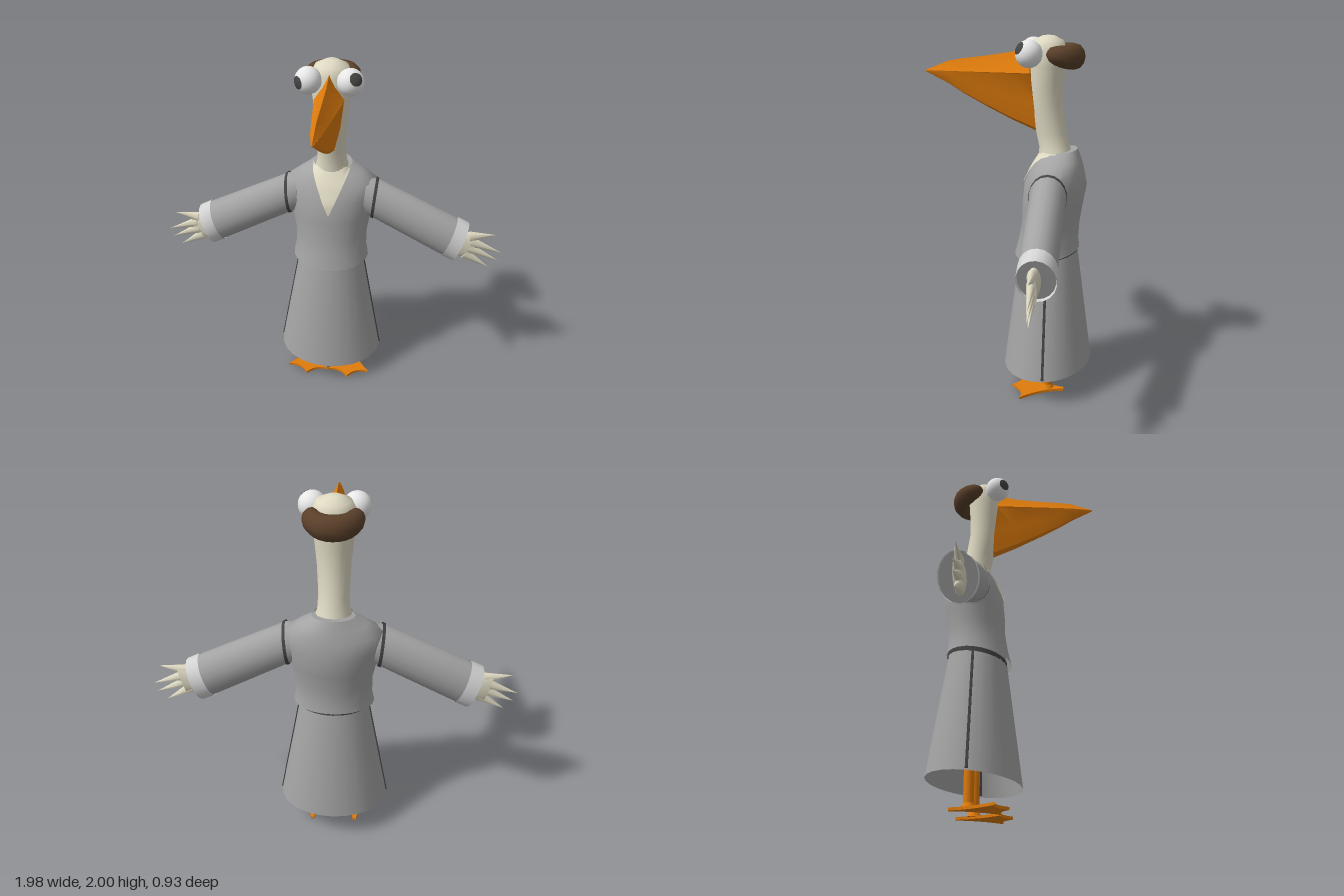
import * as THREE from 'three';
import { toCreasedNormals } from 'three/addons/utils/BufferGeometryUtils.js';

const V = (x, y, z) => new THREE.Vector3(x, y, z);
const lerp = THREE.MathUtils.lerp;

function material(name, color, side = THREE.FrontSide) {
  const m = new THREE.MeshStandardMaterial({ color, side });
  m.name = name;
  return m;
}

// Skin a list of closed rings, optionally capping both ends
function loft(rings, caps = true, crease = 0.7) {
  const n = rings[0].length, pts = rings.flat(), index = [];
  for (let r = 0; r < rings.length - 1; r++) {
    for (let i = 0; i < n; i++) {
      const j = (i + 1) % n, a = r * n + i, b = r * n + j;
      index.push(a, b, b + n, a, b + n, a + n);
    }
  }
  if (caps) {
    for (const r of [0, rings.length - 1]) {
      const c = V(0, 0, 0);
      rings[r].forEach((p) => c.addScaledVector(p, 1 / n));
      const k = pts.push(c) - 1;
      for (let i = 0; i < n; i++) {
        const a = r * n + i, b = r * n + (i + 1) % n;
        if (r === 0) index.push(b, a, k); else index.push(a, b, k);
      }
    }
  }
  const g = new THREE.BufferGeometry().setFromPoints(pts);
  g.setIndex(index);
  return toCreasedNormals(g, crease);
}

// Horizontal elliptical ring; tilt lowers the front and raises the back
function ring([y, rx, zf, zb, tilt = 0], n = 24) {
  return Array.from({ length: n }, (_, i) => {
    const a = i / n * Math.PI * 2;
    return V(rx * Math.sin(a), y - tilt * Math.cos(a), (zf + zb) / 2 + (zf - zb) / 2 * Math.cos(a));
  });
}
const rounds = (rows, caps, crease) => loft(rows.map((r) => ring(r)), caps, crease);

// Limb running to +x; each row gives top x, top y, bottom x, bottom y, half depth
function limb(rows, z, caps = true, n = 18) {
  return loft(rows.map(([tx, ty, bx, by, rz]) => Array.from({ length: n }, (_, i) => {
    const a = i / n * Math.PI * 2, c = Math.cos(a) / 2;
    return V((tx + bx) / 2 + (tx - bx) * c, (ty + by) / 2 + (ty - by) * c, z + rz * Math.sin(a));
  })), caps);
}

function mirrorX(geo) {
  const g = geo.index ? geo.toNonIndexed() : geo.clone();
  g.scale(-1, 1, 1);
  const index = [];
  for (let i = 0; i < g.attributes.position.count; i += 3) index.push(i, i + 2, i + 1);
  g.setIndex(index);
  return g;
}

export function createModel() {
  const model = new THREE.Group();
  const grey = material('robe grey', 0xa3a3a3, THREE.DoubleSide);
  const pale = material('cuff grey', 0xd2d2d2, THREE.DoubleSide);
  const cream = material('cream feathers', 0xded9c2, THREE.DoubleSide);
  const orange = material('orange', 0xe07c0c);
  const brown = material('hair brown', 0x5a402a);
  const white = material('eye white', 0xe8e8e8);
  const dark = material('dark trim', 0x444444, THREE.DoubleSide);

  const add = (name, geo, mat) => {
    const m = new THREE.Mesh(geo, mat);
    m.name = name;
    model.add(m);
  };
  const pair = (name, geo, mat) => {
    add('left' + name, geo, mat);
    add('right' + name, mirrorX(geo), mat);
  };

  // Robe: open skirt and jacket
  add('skirt', rounds([[0.155, 0.312, 0.04, -0.465, 0.025], [0.86, 0.182, -0.052, -0.368]], false), grey);
  add('waistband', rounds([[0.822, 0.191, -0.044, -0.375, 0.025], [0.85, 0.187, -0.047, -0.373, 0.025]], false), dark);
  const torso = [
    [0.835, 0.22, -0.02, -0.38, 0.025], [0.9, 0.207, -0.04, -0.372, 0.01], [1.0, 0.207, -0.058, -0.376],
    [1.1, 0.225, -0.06, -0.39], [1.22, 0.24, -0.07, -0.41], [1.31, 0.25, -0.11, -0.39],
    [1.36, 0.175, -0.14, -0.375], [1.4, 0.11, -0.165, -0.355, 0.015],
  ];
  const jacket = rounds(torso, false, 1.1);
  add('jacket', jacket, grey);
  add('collarTop', loft([ring([1.385, 0.11, -0.165, -0.355, 0.015]), ring(torso[7])]), grey);

  // V-shaped chest opening, laid over the jacket front
  const frontZ = (x, y) => {
    let k = 0;
    while (k < torso.length - 2 && torso[k + 1][0] < y) k++;
    const [p, q] = [torso[k], torso[k + 1]], t = (y - p[0]) / (q[0] - p[0]);
    const [rx, zf, zb] = [1, 2, 3].map((c) => lerp(p[c], q[c], t));
    return (zf + zb) / 2 + (zf - zb) / 2 * Math.sqrt(Math.max(0, 1 - (x / rx) ** 2)) + 0.008;
  };
  const chest = new THREE.PlaneGeometry(2, 1, 12, 10);
  const cp = chest.attributes.position;
  for (let i = 0; i < cp.count; i++) {
    const t = cp.getY(i) + 0.5, x = cp.getX(i) * 0.11 * t, y = 1.15 + 0.25 * t;
    cp.setXYZ(i, x, y, frontZ(x, y));
  }
  chest.computeVertexNormals();
  add('chest', chest, cream);

  // Neck and head in one sweep
  add('neckAndHead', rounds([
    [1.36, 0.105, -0.145, -0.33], [1.42, 0.083, -0.148, -0.315], [1.5, 0.078, -0.13, -0.292],
    [1.65, 0.085, -0.103, -0.272], [1.75, 0.094, -0.096, -0.272], [1.85, 0.105, -0.09, -0.28],
    [1.93, 0.107, -0.09, -0.285], [1.975, 0.085, -0.107, -0.268], [2.0, 0.03, -0.16, -0.22],
  ], true, 1.1), cream);

  // Hair wrapped round the back of the head
  const hair = [];
  for (let k = 0; k <= 16; k++) {
    const u = k / 8 - 1, phi = u * 1.95, fade = Math.sqrt(1.02 - u ** 8);
    const back = 1 - u * u;
    const out = V(Math.sin(phi), 0, -Math.cos(phi));
    hair.push(Array.from({ length: 12 }, (_, i) => {
      const a = i / 12 * Math.PI * 2;
      const p = out.clone().multiplyScalar(0.095 + 0.015 * back + 0.05 * fade * Math.cos(a));
      return p.add(V(0, lerp(1.915, 1.895, back) + lerp(0.037, 0.064, back) * fade * Math.sin(a), -0.22));
    }));
  }
  add('hair', loft(hair, true, 1.1), brown);

  // Bulging eyes with thin pupil caps looking different ways
  for (const [side, s, dir] of [['left', 1, V(0.5, 0.47, 0.72)], ['right', -1, V(-0.72, -0.02, 0.69)]]) {
    const at = V(s * 0.108, 1.915, -0.1);
    add(side + 'Eye', new THREE.SphereGeometry(0.07, 24, 16).translate(at.x, at.y, at.z), white);
    const turn = new THREE.Quaternion().setFromUnitVectors(V(0, 1, 0), dir.normalize());
    const pupil = new THREE.SphereGeometry(0.0715, 20, 6, 0, Math.PI * 2, 0, 0.5);
    add(side + 'Pupil', pupil.applyQuaternion(turn).translate(at.x, at.y, at.z), dark);
  }

  // Beak: ridged top, wide mouth line, deep pouch
  const mouth = 1.812;
  const beak = [
    [-0.1, 1.95, 0.08, 1.5], [0.0, 1.915, 0.068, 1.56], [0.14, 1.893, 0.052, 1.63],
    [0.27, 1.877, 0.037, 1.7], [0.34, 1.865, 0.028, 1.745], [0.465, 1.815, 0.004, 1.807],
  ].map(([z, top, w, low], k) => {
    const half = [
      [0.42, lerp(mouth, top, 0.5)], [1, mouth + 0.002], [0.95, mouth - 0.004],
      [0.7, lerp(mouth, low, 0.5)], [0.3, lerp(mouth, low, 0.94)],
    ];
    const at = (x, y) => V(x, y, k === 0 && y < mouth ? z - 0.04 * (mouth - y) / (mouth - low) : z);
    return [at(0, top), ...half.map(([f, y]) => at(-f * w, y)), at(0, low),
      ...half.reverse().map(([f, y]) => at(f * w, y))];
  });
  add('beak', loft(beak, true, 0.45), orange);

  // Sleeves, cuffs and armhole trim
  pair('Sleeve', limb([[0.2, 1.325, 0.18, 1.11, 0.085], [0.255, 1.32, 0.24, 1.085, 0.093],
    [0.775, 1.077, 0.697, 0.842, 0.093]], -0.22), grey);
  pair('Cuff', limb([[0.722, 1.107, 0.642, 0.866, 0.097], [0.79, 1.073, 0.71, 0.834, 0.097]], -0.22, false), pale);
  pair('ArmholeTrim', limb([[0.25, 1.329, 0.226, 1.085, 0.1], [0.266, 1.321, 0.242, 1.077, 0.1]], -0.22, false), dark);

  // Hands: flat palm and four pointed fingers
  pair('Palm', limb([[0.74, 1.03, 0.69, 0.875, 0.034], [0.85, 1.02, 0.81, 0.85, 0.022]], -0.21), cream);
  const fingers = [[0.8, 1.0, 0.948, 1.022], [0.81, 0.965, 0.99, 0.905], [0.8, 0.925, 0.975, 0.852], [0.78, 0.885, 0.928, 0.8]];
  fingers.forEach(([x0, y0, x1, y1], i) => {
    const dx = x1 - x0, dy = y1 - y0, len = Math.hypot(dx, dy);
    const g = new THREE.ConeGeometry(0.034, len, 8).rotateZ(Math.atan2(dy, dx) - Math.PI / 2);
    g.scale(1, 1, 0.7).translate((x0 + x1) / 2, (y0 + y1) / 2, -0.205);
    pair('Finger' + (i + 1), g, cream);
  });

  // Skirt side seams
  const seam = new THREE.BoxGeometry(0.008, 0.67, 0.014);
  seam.rotateZ(Math.atan2(0.13, 0.705)).translate(0.25, 0.493, -0.212);
  pair('SkirtSeam', seam, dark);

  // Legs and webbed feet
  pair('Leg', new THREE.CylinderGeometry(0.027, 0.027, 0.5, 14).translate(0.117, 0.26, -0.223), orange);
  pair('Ankle', new THREE.CylinderGeometry(0.027, 0.04, 0.025, 14).translate(0.117, 0.025, -0.223), orange);
  const web = new THREE.Shape();
  web.moveTo(0.117, 0.32);
  web.quadraticCurveTo(0.1, 0.18, 0.002, 0.07);
  web.quadraticCurveTo(0.075, 0.09, 0.128, 0.02);
  web.quadraticCurveTo(0.18, 0.1, 0.258, 0.08);
  web.quadraticCurveTo(0.15, 0.2, 0.135, 0.32);
  web.closePath();
  const foot = new THREE.ExtrudeGeometry(web, { depth: 0.015, bevelEnabled: false, curveSegments: 6 });
  pair('Foot', foot.rotateX(-Math.PI / 2), orange);

  return model;
}
